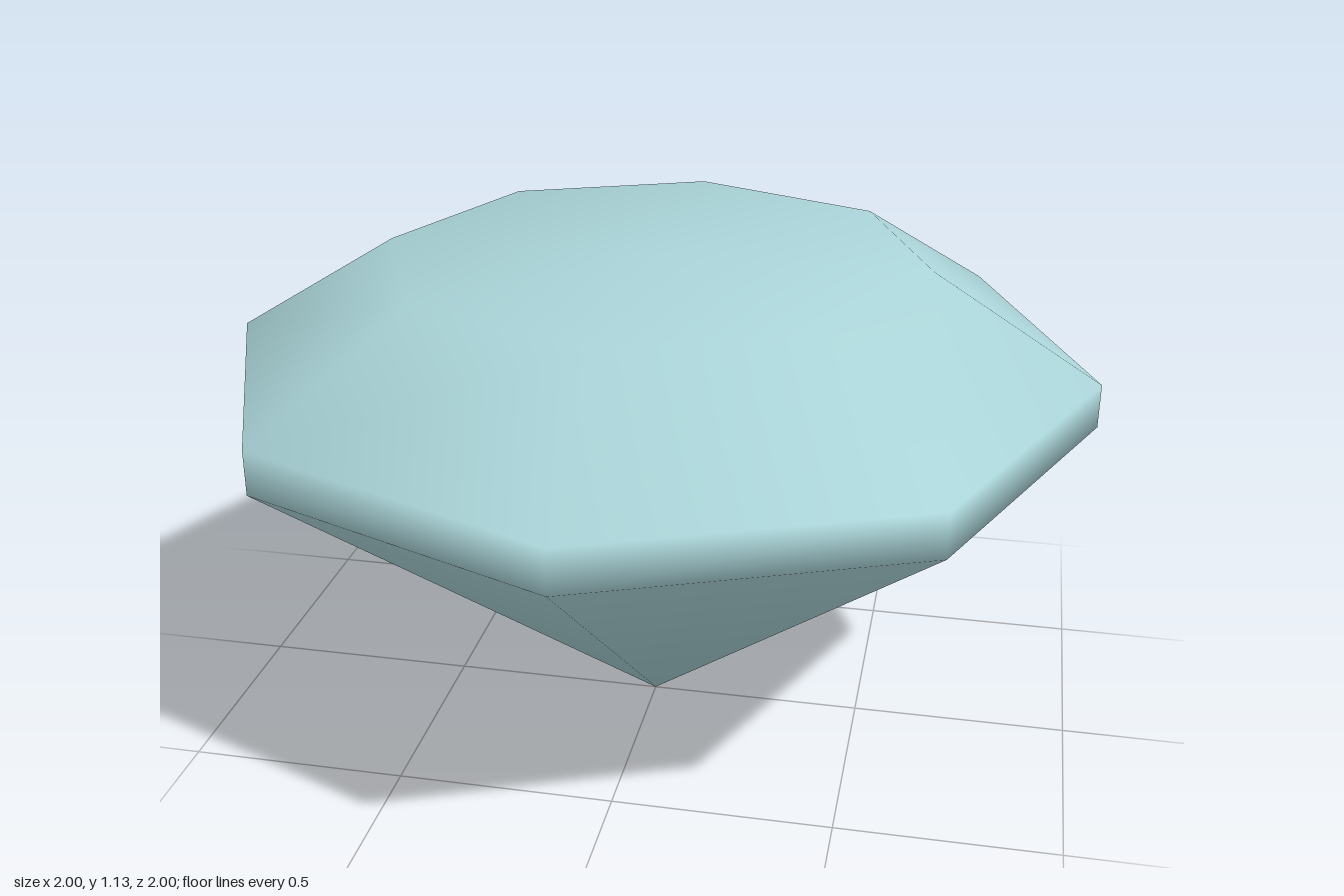
import * as THREE from 'three';

const SIDES = 8;
// Rings from the girdle's lower edge up to the table: [radius, height]
const RINGS = [[1, 0.795], [1, 0.895], [0.62, 1.13]];

export function createModel() {
  const group = new THREE.Group();
  group.name = 'gem';

  // Shared vertices give soft shading across all facets
  const positions = [0, 0, 0];
  for (const [r, y] of RINGS) {
    for (let i = 0; i < SIDES; i++) {
      const a = (i / SIDES) * Math.PI * 2;
      positions.push(r * Math.sin(a), y, r * Math.cos(a));
    }
  }
  const top = positions.length / 3;
  positions.push(0, RINGS[RINGS.length - 1][1], 0);

  const at = (ring, i) => 1 + ring * SIDES + (i % SIDES);
  const last = RINGS.length - 1;
  const index = [];
  for (let i = 0; i < SIDES; i++) {
    // Pointed pavilion below
    index.push(0, at(0, i + 1), at(0, i));
    // Girdle band and sloping crown
    for (let r = 0; r < last; r++) {
      const a = at(r, i), b = at(r, i + 1), c = at(r + 1, i + 1), d = at(r + 1, i);
      index.push(a, b, c, a, c, d);
    }
    // Flat table on top
    index.push(top, at(last, i), at(last, i + 1));
  }

  const geometry = new THREE.BufferGeometry();
  geometry.setAttribute('position', new THREE.Float32BufferAttribute(positions, 3));
  geometry.setIndex(index);
  geometry.computeVertexNormals();

  const paleAqua = new THREE.MeshStandardMaterial({ color: 0xaad4d8 });
  paleAqua.name = 'paleAqua';
  const stone = new THREE.Mesh(geometry, paleAqua);
  stone.name = 'cutStone';
  group.add(stone);
  return group;
}
